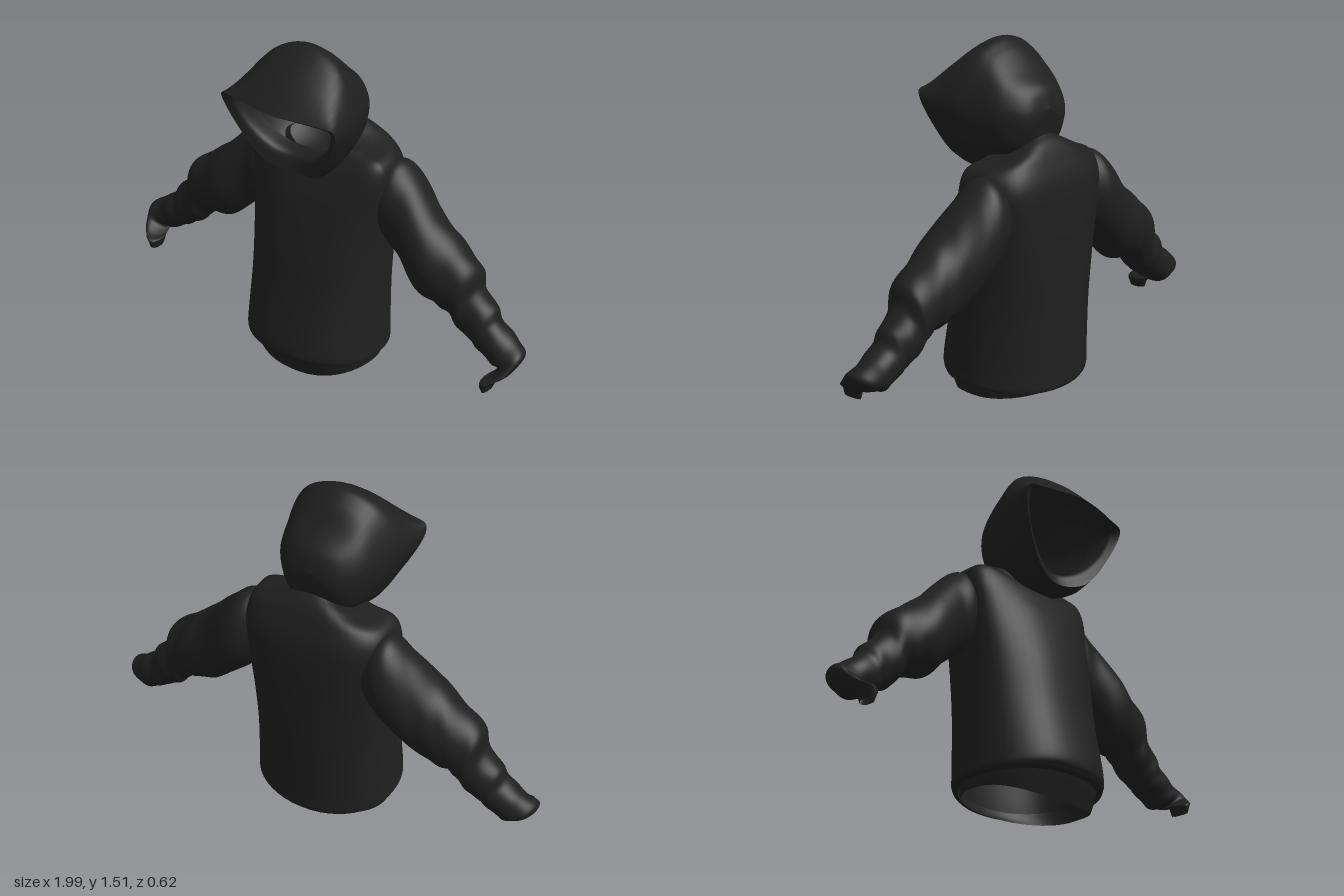
import * as THREE from 'three';

const V = (x, y, z) => new THREE.Vector3(x, y, z);
const SEG = 48;

// Smooth surface through closed rings of equal point count, open at both ends
function skin(rings, steps, wrinkle) {
  const n = rings[0].length, pos = [], idx = [];
  const rails = rings[0].map((_, j) => new THREE.CatmullRomCurve3(rings.map(r => r[j]), false, 'catmullrom', 0.5));
  for (let i = 0; i <= steps; i++) {
    const t = i / steps;
    const ring = rails.map(c => c.getPoint(t));
    const mid = ring.reduce((s, p) => s.add(p), V(0, 0, 0)).divideScalar(n);
    ring.forEach((p, j) => {
      if (wrinkle) p.sub(mid).multiplyScalar(1 + wrinkle(t, (j / n) * Math.PI * 2)).add(mid);
      pos.push(p.x, p.y, p.z);
    });
  }
  for (let i = 0; i < steps; i++) {
    for (let j = 0; j < n; j++) {
      const k = (j + 1) % n, a = i * n, b = a + n;
      idx.push(a + j, b + j, a + k, a + k, b + j, b + k);
    }
  }
  const g = new THREE.BufferGeometry();
  g.setAttribute('position', new THREE.Float32BufferAttribute(pos, 3));
  g.setIndex(idx);
  g.computeVertexNormals();
  return g;
}

// Torso ring: heights at front, side and back, half width, front z, back z, back squareness
function torsoRing([yf, ys, yb, w, zf, zb, square]) {
  const zc = -0.05;
  return Array.from({ length: SEG }, (_, j) => {
    const a = (j / SEG) * Math.PI * 2, c = Math.cos(a), s = Math.sin(a);
    const e = s > 0 ? 0.88 : square, as = Math.abs(s);
    const y = ys + ((s > 0 ? yf : yb) - ys) * as * as;
    const z = zc + ((s > 0 ? zf : zb) - zc) * Math.pow(as, e);
    return V(w * Math.sign(c) * Math.pow(Math.abs(c), e), y, z);
  });
}

// Sleeve ring: upper x,y, lower x,y, front z, back z
function sleeveRing([tx, ty, bx, by, zf, zb], side) {
  return Array.from({ length: SEG }, (_, j) => {
    const a = (j / SEG) * Math.PI * 2, c = Math.cos(a), s = Math.sin(a);
    return V(side * ((tx + bx) / 2 + (tx - bx) / 2 * c), (ty + by) / 2 + (ty - by) / 2 * c,
      (zf + zb) / 2 + (zf - zb) / 2 * s);
  });
}

// Hood ring: half outline from crown to chin, mirrored to the other side
function hoodRing(half) {
  const right = half.map(p => V(...p));
  const left = half.slice(1, -1).reverse().map(p => V(-p[0], p[1], p[2]));
  const curve = new THREE.CatmullRomCurve3([...right, ...left], true, 'catmullrom', 0.5);
  return Array.from({ length: SEG + 2 }, (_, j) => curve.getPoint(j / (SEG + 2)));
}

export function createModel() {
  const group = new THREE.Group();
  const cloth = new THREE.MeshStandardMaterial({ color: 0x1f1f1f, side: THREE.DoubleSide });
  cloth.name = 'charcoal cloth';
  const add = (name, geometry) => {
    const m = new THREE.Mesh(geometry, cloth);
    m.name = name;
    group.add(m);
  };

  // Torso, from the gathered bottom edge up to the neckline
  const torso = [
    [0.10, 0.09, 0.06, 0.290, 0.225, -0.28, 0.95],
    [0.115, 0.10, 0.07, 0.316, 0.247, -0.295, 0.92],
    [0.17, 0.17, 0.16, 0.313, 0.256, -0.297, 0.9],
    [0.40, 0.40, 0.40, 0.305, 0.205, -0.305, 0.85],
    [0.60, 0.60, 0.60, 0.306, 0.170, -0.31, 0.75],
    [0.80, 0.80, 0.80, 0.320, 0.120, -0.31, 0.65],
    [0.90, 0.945, 0.95, 0.330, 0.080, -0.30, 0.6],
    [0.96, 1.025, 1.05, 0.300, 0.050, -0.265, 0.65],
    [0.98, 1.05, 1.11, 0.210, 0.030, -0.23, 0.75],
    [1.02, 1.06, 1.14, 0.150, 0.030, -0.195, 0.85],
  ];
  add('torso', skin(torso.map(torsoRing), 72,
    (t, a) => 0.008 * Math.sin(a * 7 + t * 3) * Math.sin(Math.PI * t)));

  // Waistband showing below the torso
  const band = [
    [0.12, 0.11, 0.09, 0.292, 0.228, -0.275, 0.95],
    [0.06, 0.075, 0.065, 0.290, 0.205, -0.265, 0.95],
    [0.0, 0.045, 0.045, 0.286, 0.180, -0.25, 0.95],
  ];
  add('waistband', skin(band.map(torsoRing), 10));

  // Sleeves, ending in a flattened cuff that turns forward
  const sleeve = [
    [0.25, 0.99, 0.27, 0.68, -0.03, -0.25],
    [0.33, 1.01, 0.325, 0.63, -0.005, -0.28],
    [0.40, 0.96, 0.41, 0.56, 0.0, -0.28],
    [0.50, 0.86, 0.50, 0.475, 0.03, -0.25],
    [0.62, 0.755, 0.60, 0.445, 0.025, -0.235],
    [0.74, 0.66, 0.64, 0.43, 0.005, -0.215],
    [0.765, 0.57, 0.69, 0.37, -0.01, -0.20],
    [0.83, 0.51, 0.745, 0.335, -0.02, -0.19],
    [0.86, 0.455, 0.79, 0.305, -0.02, -0.18],
    [0.93, 0.40, 0.86, 0.265, -0.02, -0.175],
    [0.995, 0.35, 0.895, 0.265, -0.01, -0.15],
    [0.975, 0.29, 0.885, 0.255, 0.04, -0.10],
    [0.93, 0.255, 0.87, 0.245, 0.072, -0.04],
    [0.915, 0.215, 0.88, 0.205, 0.06, -0.02],
  ];
  const folds = (t, a) => 0.035 * Math.sin(t * 62 + 1.6 * Math.sin(a + t * 5)) *
    Math.sin(a * 2 + t * 9) * THREE.MathUtils.smoothstep(t, 0.1, 0.35);
  for (const [name, side] of [['leftSleeve', 1], ['rightSleeve', -1]]) {
    add(name, skin(sleeve.map(r => sleeveRing(r, side)), 110, folds));
  }

  // Hood, from the back of the head forward to the peaked brim
  const hood = [
    Array(6).fill([0, 1.25, -0.212]),
    [[0, 1.33, -0.18], [0.075, 1.31, -0.18], [0.11, 1.25, -0.19], [0.105, 1.19, -0.195], [0.07, 1.14, -0.19], [0, 1.12, -0.19]],
    [[0, 1.395, -0.10], [0.13, 1.365, -0.10], [0.185, 1.27, -0.11], [0.18, 1.18, -0.12], [0.13, 1.09, -0.14], [0, 1.06, -0.16]],
    [[0, 1.48, -0.02], [0.15, 1.43, -0.01], [0.225, 1.28, 0], [0.215, 1.15, -0.01], [0.14, 1.04, -0.05], [0, 1.0, -0.08]],
    [[0, 1.512, 0.06], [0.165, 1.45, 0.07], [0.25, 1.29, 0.08], [0.23, 1.15, 0.06], [0.14, 1.005, 0.04], [0, 0.97, 0.03]],
    [[0, 1.43, 0.19], [0.185, 1.385, 0.18], [0.268, 1.285, 0.18], [0.238, 1.16, 0.15], [0.14, 0.995, 0.115], [0, 0.965, 0.09]],
    [[0, 1.315, 0.31], [0.2, 1.31, 0.275], [0.283, 1.29, 0.252], [0.24, 1.16, 0.218], [0.14, 1.015, 0.18], [0, 0.978, 0.145]],
  ];
  add('hood', skin(hood.map(hoodRing), 60));

  // Facing folded inside the hood opening
  const facing = [
    hood[6],
    [[0, 1.305, 0.27], [0.19, 1.295, 0.24], [0.24, 1.27, 0.22], [0.2, 1.16, 0.185], [0.11, 1.065, 0.15], [0, 1.035, 0.12]],
    [[0, 1.40, 0.17], [0.15, 1.36, 0.15], [0.225, 1.27, 0.12], [0.19, 1.15, 0.10], [0.1, 1.07, 0.07], [0, 1.05, 0.05]],
  ];
  add('hoodFacing', skin(facing.map(hoodRing), 16));

  return group;
}
